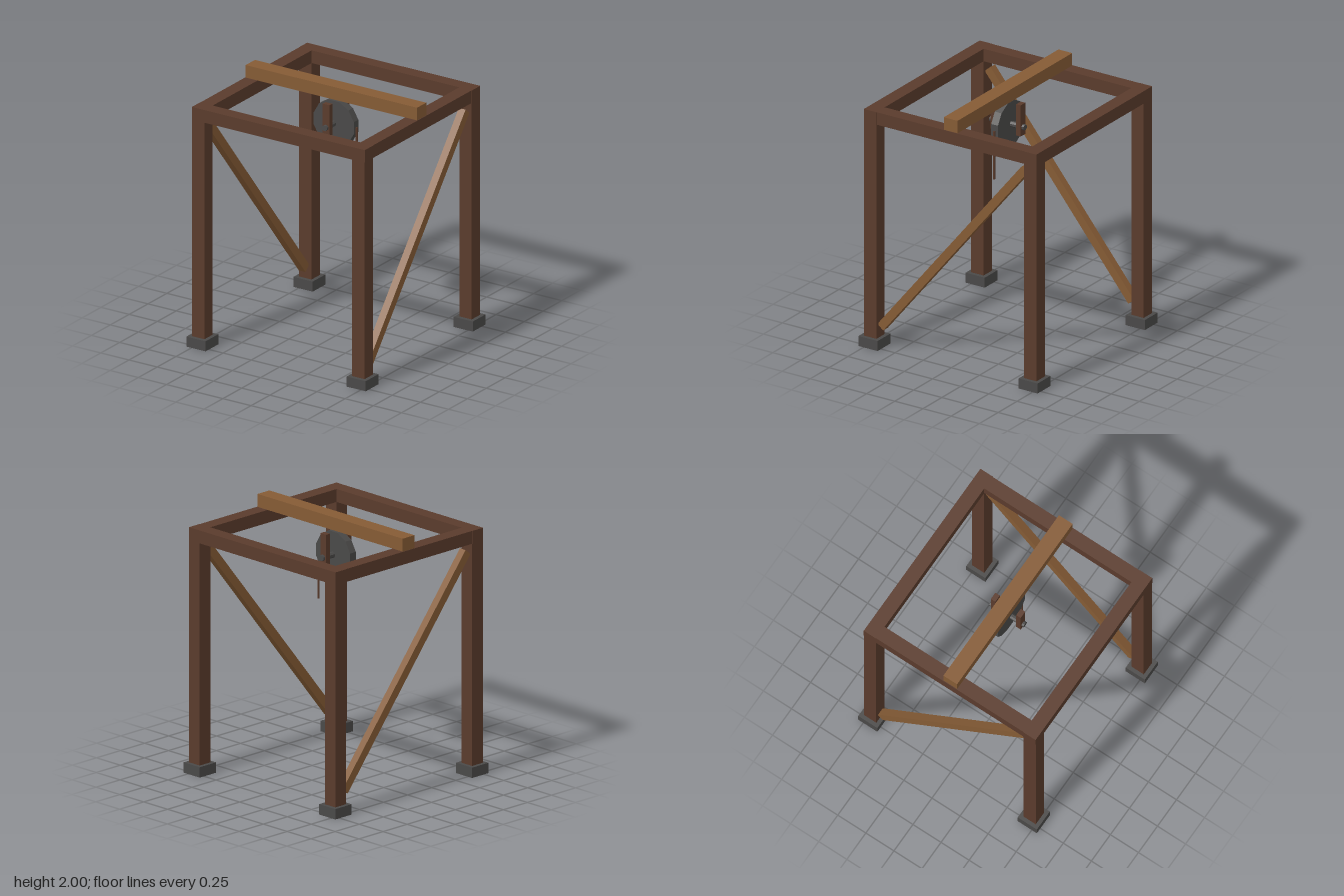
import * as THREE from 'three';

const material = (name, color) => {
  const m = new THREE.MeshStandardMaterial({ color });
  m.name = name;
  return m;
};

export function createModel() {
  const darkWood = material('darkWood', 0x5a3b2c);
  const lightWood = material('lightWood', 0x855b35);
  const iron = material('iron', 0x4a4948);
  const group = new THREE.Group();
  group.name = 'hoistFrame';

  const add = (name, geometry, mat, x, y, z) => {
    const mesh = new THREE.Mesh(geometry, mat);
    mesh.name = name;
    mesh.position.set(x, y, z);
    group.add(mesh);
    return mesh;
  };
  const box = (name, mat, w, h, d, x, y, z) =>
    add(name, new THREE.BoxGeometry(w, h, d), mat, x, y, z);
  // faceted cylinder lying along z
  const disc = (name, mat, radius, depth, sides, y) => {
    const g = new THREE.CylinderGeometry(radius, radius, depth, sides).toNonIndexed();
    g.rotateX(Math.PI / 2).rotateZ(Math.PI / sides);
    g.computeVertexNormals();
    return add(name, g, mat, 0, y, 0);
  };

  const post = 0.71; // distance of the post centres from the middle
  for (const sx of [-1, 1]) {
    // posts on footings
    for (const sz of [-1, 1]) {
      box('footing', iron, 0.17, 0.08, 0.17, sx * post, 0.04, sz * post);
      box('post', darkWood, 0.11, 1.72, 0.11, sx * post, 0.94, sz * post);
    }
    // side rail and diagonal brace, the braces sloping opposite ways
    box('sideRail', darkWood, 0.11, 0.1, 1.31, sx * post, 1.85, 0);
    const brace = box('brace', lightWood, 0.06, 0.066, 2.019, sx * post, 0.952, 0);
    brace.rotation.x = sx * Math.atan2(1.56, 1.27);
  }
  // front and back rails
  for (const sz of [-1, 1]) {
    box('endRail', darkWood, 1.535, 0.1, 0.11, 0, 1.85, sz * post);
  }
  // beam across the top
  box('crossBeam', lightWood, 1.52, 0.1, 0.122, 0, 1.95, 0);

  // pulley on its axle, held by two hangers
  disc('pulleyWheel', iron, 0.184, 0.06, 12, 1.697);
  disc('axle', iron, 0.023, 0.306, 8, 1.697);
  for (const sz of [-1, 1]) {
    box('hanger', darkWood, 0.06, 0.25, 0.04, 0, 1.755, sz * 0.113);
  }
  // rope hanging from the wheel's edge
  add('rope', new THREE.CylinderGeometry(0.009, 0.009, 0.385, 6), darkWood, 0.183, 1.503, 0);

  return group;
}
